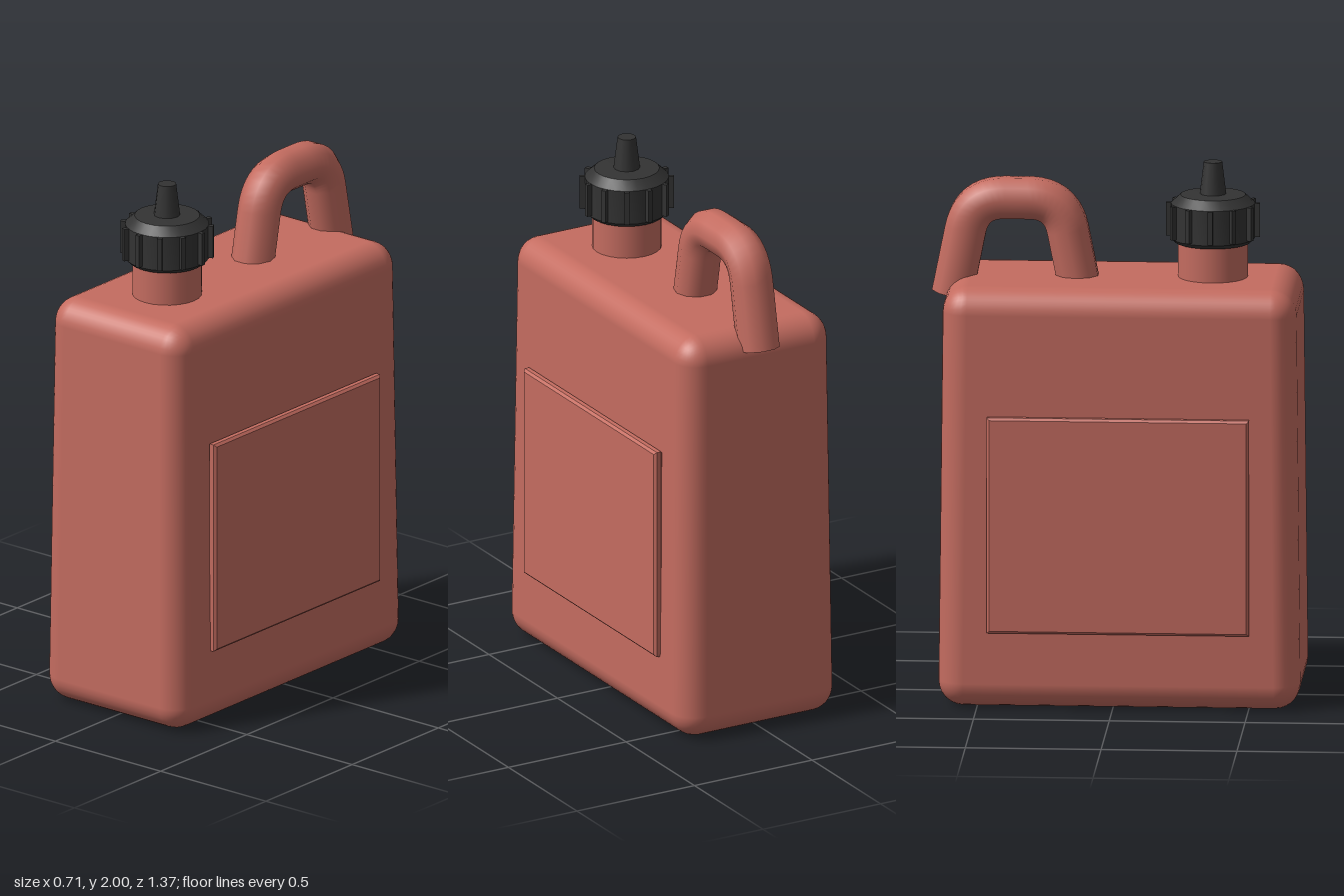
import * as THREE from 'three';
import { toCreasedNormals } from 'three/addons/utils/BufferGeometryUtils.js';
import { RoundedBoxGeometry } from 'three/addons/geometries/RoundedBoxGeometry.js';

const redPlastic = new THREE.MeshStandardMaterial({ name: 'redPlastic', color: 0xc46c60 });
const blackPlastic = new THREE.MeshStandardMaterial({ name: 'blackPlastic', color: 0x333333 });

const BODY_Z = 0.022, BODY_H = 1.57, NECK_Z = 0.352;

function part(parent, name, geometry, material, x = 0, y = 0, z = 0) {
  const mesh = new THREE.Mesh(geometry, material);
  mesh.name = name;
  mesh.position.set(x, y, z);
  parent.add(mesh);
  return mesh;
}

// Rounded tank that narrows slightly towards the top
function tankGeometry() {
  const geo = new RoundedBoxGeometry(0.67, BODY_H, 1.334, 4, 0.095);
  geo.translate(0, BODY_H / 2, 0);
  const p = geo.attributes.position;
  for (let i = 0; i < p.count; i++) {
    const t = p.getY(i) / BODY_H;
    p.setX(i, p.getX(i) * (1 - 0.06 * t));
    p.setZ(i, p.getZ(i) * (1 - 0.025 * t));
  }
  return geo;
}

// Bevelled rectangular plate facing along x
function panelGeometry() {
  const bevel = 0.009, w = 0.965 / 2 - bevel, h = 0.81 / 2 - bevel;
  const shape = new THREE.Shape([[-w, -h], [w, -h], [w, h], [-w, h]].map(([x, y]) => new THREE.Vector2(x, y)));
  const geo = new THREE.ExtrudeGeometry(shape, {
    depth: 0.018, bevelEnabled: true, bevelThickness: bevel, bevelSize: bevel, bevelSegments: 1,
  });
  return geo.center().rotateY(Math.PI / 2);
}

// Handle centreline: two splayed legs joined by rounded corners
function handlePath() {
  const v = (z, y) => new THREE.Vector3(0, y, z);
  const ends = [v(-0.133, 1.495), v(-0.205, 1.855), v(-0.535, 1.855), v(-0.607, 1.495)];
  const toward = (a, b, d) => a.clone().add(b.clone().sub(a).setLength(d));
  const [a, b, c, d] = ends, r = 0.12;
  const b1 = toward(b, a, r), b2 = toward(b, c, r), c1 = toward(c, b, r), c2 = toward(c, d, r);
  const path = new THREE.CurvePath();
  path.add(new THREE.LineCurve3(a, b1));
  path.add(new THREE.QuadraticBezierCurve3(b1, b, b2));
  path.add(new THREE.LineCurve3(b2, c1));
  path.add(new THREE.QuadraticBezierCurve3(c1, c, c2));
  path.add(new THREE.LineCurve3(c2, d));
  return path;
}

export function createModel() {
  const model = new THREE.Group();
  model.name = 'jerryCan';

  part(model, 'tank', tankGeometry(), redPlastic, 0, 0, BODY_Z);

  // Raised panels on both sides
  for (const side of [1, -1]) {
    part(model, side > 0 ? 'leftPanel' : 'rightPanel', panelGeometry(), redPlastic, side * 0.336, 0.695, BODY_Z);
  }

  // Carrying handle with closed ends
  const handle = new THREE.Group();
  handle.name = 'handle';
  model.add(handle);
  const path = handlePath();
  part(handle, 'grip', new THREE.TubeGeometry(path, 48, 0.08, 10, false), redPlastic);
  for (const t of [0, 1]) {
    const end = part(handle, 'handleEnd', new THREE.CircleGeometry(0.08, 10), redPlastic);
    const outward = path.getTangentAt(t).multiplyScalar(t ? 1 : -1);
    end.position.copy(path.getPointAt(t));
    end.lookAt(end.position.clone().add(outward));
  }

  part(model, 'neck', new THREE.CylinderGeometry(0.128, 0.128, 0.22, 24), redPlastic, 0, 1.61, NECK_Z);

  // Screw cap with grip ribs and a tapered spout
  const cap = new THREE.Group();
  cap.name = 'cap';
  cap.position.set(0, 0, NECK_Z);
  model.add(cap);
  const profile = [[0, 1.7], [0.14, 1.7], [0.155, 1.715], [0.155, 1.845], [0.12, 1.877], [0, 1.882]];
  const shell = new THREE.LatheGeometry(profile.map(([r, y]) => new THREE.Vector2(r, y)), 24);
  part(cap, 'capShell', toCreasedNormals(shell, 0.5), blackPlastic);
  for (let i = 0; i < 12; i++) {
    const angle = (i / 12) * Math.PI * 2;
    const rib = part(cap, 'gripRib', new THREE.BoxGeometry(0.018, 0.125, 0.03), blackPlastic,
      Math.sin(angle) * 0.158, 1.783, Math.cos(angle) * 0.158);
    rib.rotation.y = angle;
  }
  part(cap, 'spout', new THREE.CylinderGeometry(0.034, 0.05, 0.13, 12), blackPlastic, 0, 1.935, 0);

  return model;
}
